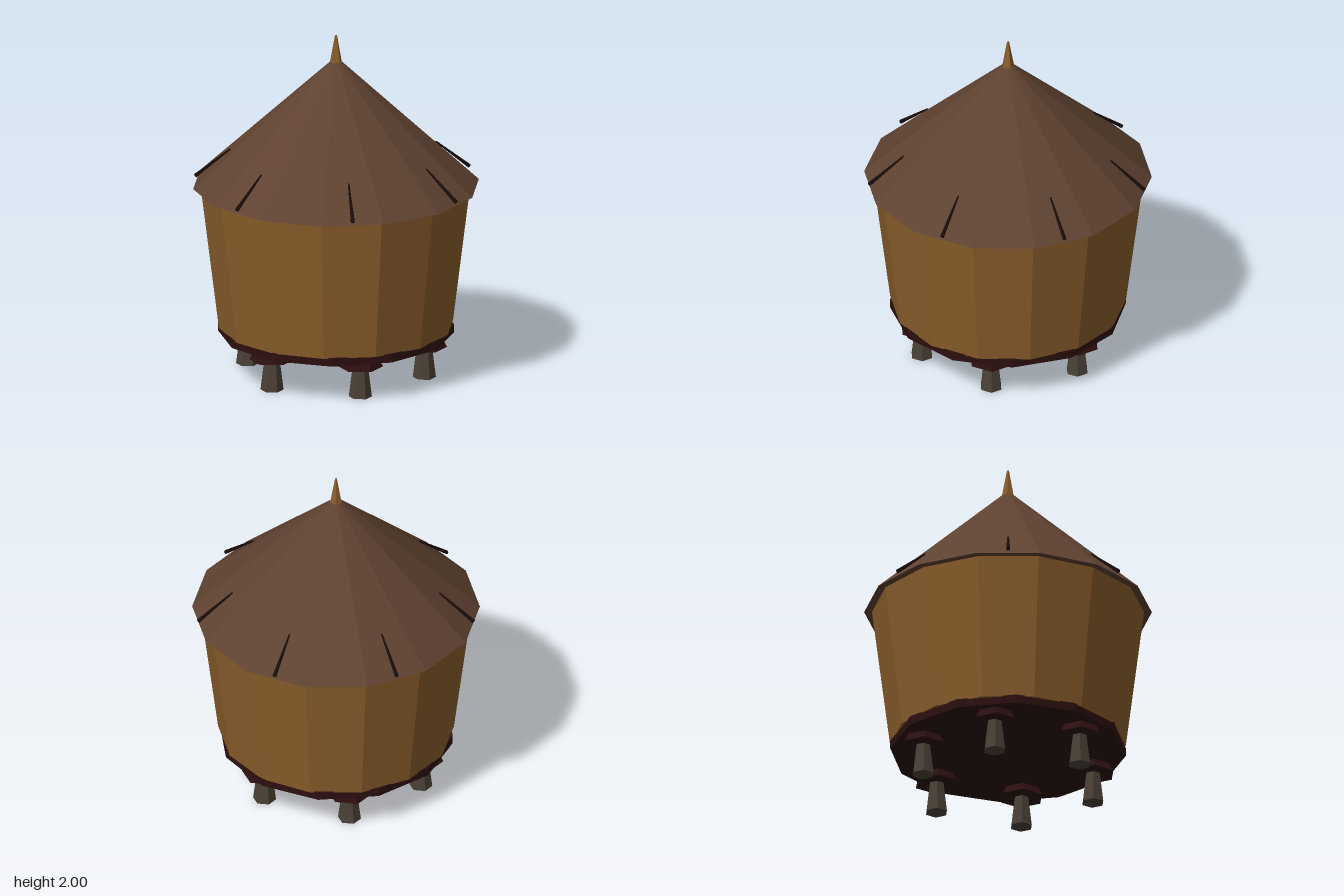
import * as THREE from 'three';

const mat = (name, color, extra = {}) =>
  Object.assign(new THREE.MeshStandardMaterial({ color, flatShading: true, ...extra }), { name });

export function createModel() {
  const model = new THREE.Group();
  model.name = 'granary';
  const hut = new THREE.Group();
  hut.name = 'hut';
  hut.position.x = -0.006;
  model.add(hut);

  const clay = mat('ochre clay', 0x8b5e2b);
  const thatch = mat('brown thatch', 0x5f4231);
  const darkWood = mat('dark red wood', 0x2c0f10);
  const stone = mat('grey brown post', 0x4a4136);
  const char = mat('blackened stick', 0x190c09);

  // Tapered prism standing between two heights
  const prism = (name, material, rTop, rBottom, y0, y1, sides, parent = hut) => {
    const mesh = new THREE.Mesh(new THREE.CylinderGeometry(rTop, rBottom, y1 - y0, sides), material);
    mesh.name = name;
    mesh.position.y = (y0 + y1) / 2;
    parent.add(mesh);
    return mesh;
  };

  // Body, floor, roof and finial
  prism('floor', darkWood, 0.673, 0.673, 0.23, 0.28, 12);
  prism('wall', clay, 0.776, 0.672, 0.275, 1.115, 14);
  prism('roof', thatch, 0.035, 0.82, 1.11, 1.84, 14);
  prism('finial', clay, 0.006, 0.036, 1.835, 2, 5);

  // Six splayed posts with guard caps
  for (let i = 0; i < 6; i++) {
    const a = THREE.MathUtils.degToRad(42.8 + 60 * i);
    const leg = new THREE.Group();
    leg.name = 'leg';
    leg.position.set(0.52 * Math.cos(a), 0, 0.52 * Math.sin(a));
    prism('post', stone, 0.039, 0.066, 0, 0.22, 6, leg);
    prism('guardCap', darkWood, 0.1, 0.13, 0.18, 0.235, 6, leg);
    hut.add(leg);
  }

  // Seven sticks lying on the thatch, thicker towards the eaves
  for (let i = 0; i < 7; i++) {
    const a = (i / 7) * Math.PI * 2;
    const at = (r, y) => new THREE.Vector3(r * Math.cos(a), y, r * Math.sin(a));
    const inner = at(0.605, 1.3), outer = at(0.806, 1.133);
    const dir = inner.clone().sub(outer);
    const stick = new THREE.Mesh(new THREE.CylinderGeometry(0.005, 0.012, dir.length(), 5), char);
    stick.name = 'roofStick';
    stick.position.copy(inner).add(outer).multiplyScalar(0.5);
    stick.quaternion.setFromUnitVectors(new THREE.Vector3(0, 1, 0), dir.normalize());
    hut.add(stick);
  }
  return model;
}
